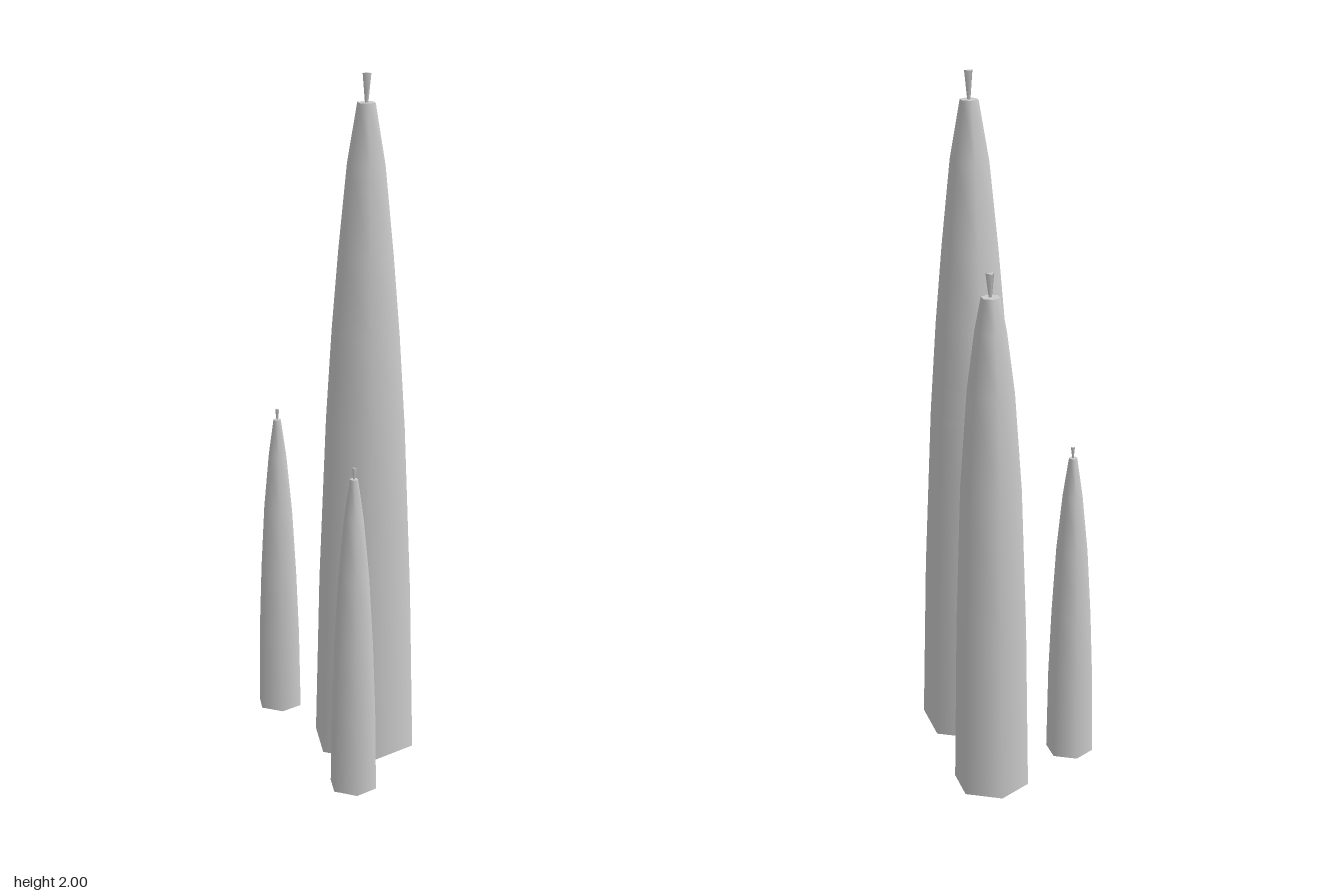
import * as THREE from 'three';

const material = new THREE.MeshStandardMaterial({ color: 0xcccccc });

// Hexagonal flat disc, facing up or down
function cap(radius, y, up) {
  const geometry = new THREE.CircleGeometry(radius, 6, Math.PI / 2);
  geometry.rotateX(up ? -Math.PI / 2 : Math.PI / 2);
  geometry.translate(0, y, 0);
  return new THREE.Mesh(geometry, material);
}

// Tapered six-sided candle; profile is [radius, height] from base to top
function candle(name, x, z, profile, wickRadius, wickHeight) {
  const group = new THREE.Group();
  group.name = name;
  group.position.set(x, 0, z);

  const points = profile.map(([r, y]) => new THREE.Vector2(r, y));
  const body = new THREE.Mesh(new THREE.LatheGeometry(points, 6), material);
  body.name = 'waxBody';

  const [baseRadius] = profile[0];
  const [topRadius, topY] = profile[profile.length - 1];
  const base = cap(baseRadius, 0, false);
  base.name = 'base';
  const top = cap(topRadius, topY, true);
  top.name = 'top';

  // Three-sided wick, flaring upward
  const wickGeometry = new THREE.CylinderGeometry(wickRadius, wickRadius * 0.4, wickHeight, 3);
  wickGeometry.rotateY(Math.PI);
  const wick = new THREE.Mesh(wickGeometry, material);
  wick.name = 'wick';
  wick.position.y = topY + wickHeight / 2;

  group.add(body, base, top, wick);
  return group;
}

export function createModel() {
  const model = new THREE.Group();
  model.name = 'candles';

  const tall = [[0.156, 0], [0.143, 0.5], [0.121, 1.0], [0.103, 1.27], [0.083, 1.5], [0.057, 1.75], [0.027, 1.92]];
  const medium = [[0.109, 0], [0.101, 0.5], [0.087, 0.92], [0.067, 1.2], [0.045, 1.37], [0.027, 1.465]];
  const small = [[0.07, 0], [0.066, 0.25], [0.058, 0.45], [0.046, 0.65], [0.029, 0.82], [0.012, 0.935]];

  model.add(
    candle('tallCandle', 0.065, 0.067, tall, 0.014, 0.08),
    candle('mediumCandle', 0.12, -0.315, medium, 0.014, 0.065),
    candle('smallBackCandle', -0.157, -0.207, small, 0.007, 0.032),
    candle('smallFrontCandle', -0.012, 0.352, small, 0.007, 0.032),
  );
  return model;
}
